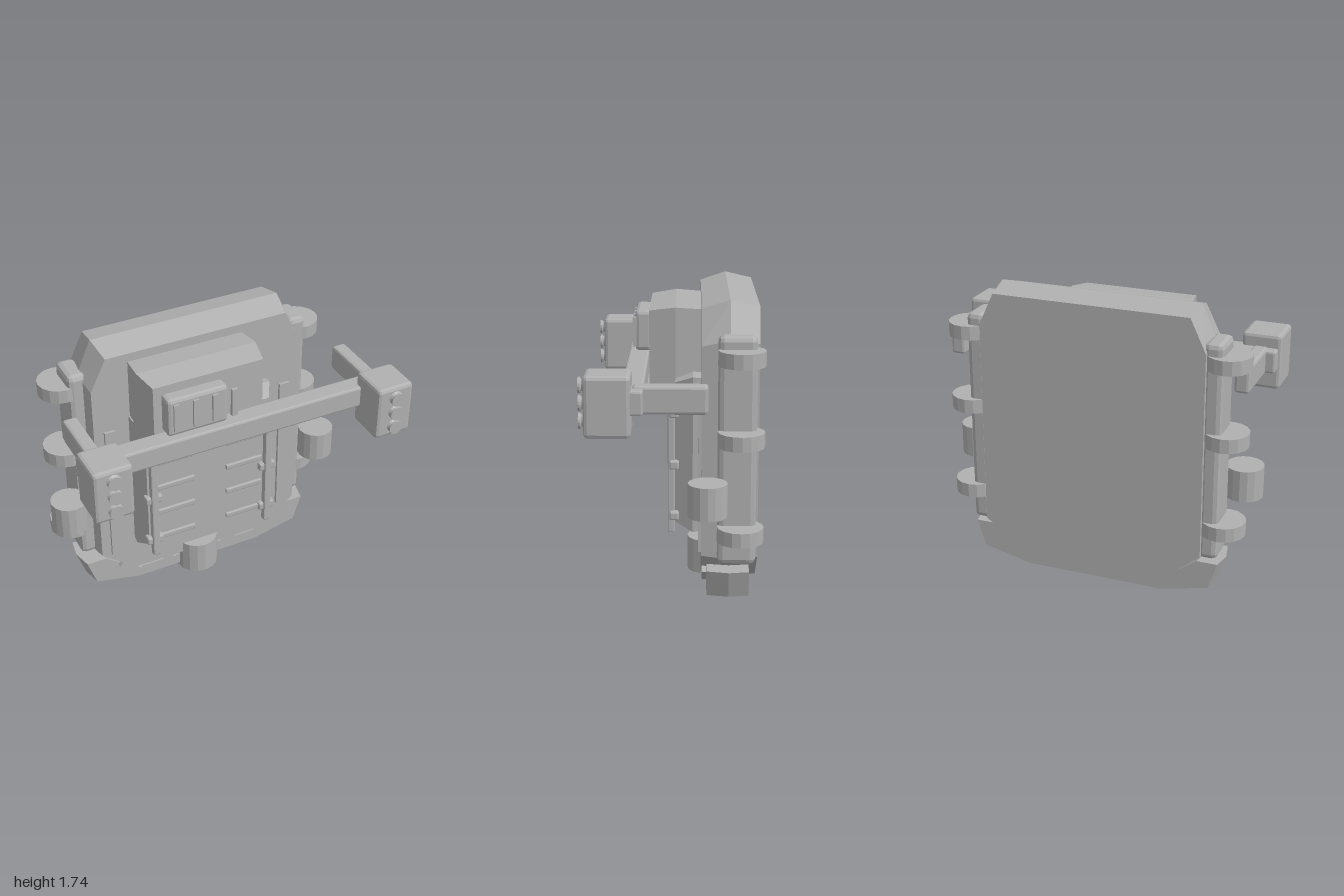
import * as THREE from 'three';
import { RoundedBoxGeometry } from 'three/addons/geometries/RoundedBoxGeometry.js';

const grey = new THREE.MeshStandardMaterial({ color: 0xb0b0b0 });
grey.name = 'plain grey';
const C = -0.07; // centre line of the main body

// Faceted normals
function flat(geo) {
  const g = geo.index ? geo.toNonIndexed() : geo;
  g.computeVertexNormals();
  return g;
}

// Joins matching outlines (counter-clockwise from the front), ordered front to back
function loft(sections) {
  const pos = [];
  const put = (p, z) => pos.push(p[0], p[1], z);
  for (let s = 0; s < sections.length - 1; s++) {
    const [za, a] = sections[s], [zb, b] = sections[s + 1];
    a.forEach((_, i) => {
      const j = (i + 1) % a.length;
      put(a[i], za); put(b[i], zb); put(b[j], zb);
      put(a[i], za); put(b[j], zb); put(a[j], za);
    });
  }
  const cap = ([z, ring], back) => {
    const pts = ring.map((p) => new THREE.Vector2(p[0], p[1]));
    for (const t of THREE.ShapeUtils.triangulateShape(pts, [])) {
      (back ? [t[0], t[2], t[1]] : t).forEach((k) => put(ring[k], z));
    }
  };
  cap(sections[0], false);
  cap(sections[sections.length - 1], true);
  const g = new THREE.BufferGeometry();
  g.setAttribute('position', new THREE.Float32BufferAttribute(pos, 3));
  g.computeVertexNormals();
  return g;
}

const rect = (x0, x1, y0, y1) => [[x0, y0], [x1, y0], [x1, y1], [x0, y1]];

// Eight-sided outline with different top and bottom chamfers
function octagon(half, topHalf, bottomHalf, y0, y1, y2, y3) {
  const right = [[bottomHalf, y0], [half, y1], [half, y2], [topHalf, y3]];
  const left = right.map(([x, y]) => [-x, y]).reverse();
  return [...right, ...left].map(([x, y]) => [x + C, y]);
}

export function createModel() {
  const model = new THREE.Group();
  const add = (name, geo) => {
    const m = new THREE.Mesh(geo, grey);
    m.name = name;
    model.add(m);
    return m;
  };
  // Box given by its limits, with optional chamfered edges
  const box = (name, x0, x1, y0, y1, z0, z1, bevel = 0) => {
    const w = x1 - x0, h = y1 - y0, d = z1 - z0;
    const geo = bevel ? new RoundedBoxGeometry(w, h, d, 1, bevel) : new THREE.BoxGeometry(w, h, d);
    const m = add(name, flat(geo));
    m.position.set((x0 + x1) / 2, (y0 + y1) / 2, (z0 + z1) / 2);
    return m;
  };
  const drum = (name, x, y0, y1, z, r) => {
    const m = add(name, flat(new THREE.CylinderGeometry(r, r, y1 - y0, 16)));
    m.position.set(x, (y0 + y1) / 2, z);
  };

  // Main slab, fullest at mid depth
  add('mainSlab', loft([
    [-0.147, octagon(0.655, 0.56, 0.44, 0.14, 0.31, 1.495, 1.687)],
    [-0.3, octagon(0.675, 0.585, 0.45, 0.11, 0.295, 1.53, 1.735)],
    [-0.46, octagon(0.66, 0.57, 0.44, 0.125, 0.305, 1.51, 1.7)],
  ]));

  // Curved bumper under the slab
  const right = [[0.425, 0.02], [0.715, 0.09], [0.77, 0.25], [0.645, 0.25], [0.43, 0.1]];
  const ring = [...right, ...right.map(([x, y]) => [-x, y]).reverse()];
  const bumperAt = (s, dy) => ring.map(([x, y]) => [x * s + C, y < 0.05 ? y + dy : y]);
  add('bumper', loft([
    [-0.18, bumperAt(0.965, 0.006)], [-0.3, bumperAt(1, 0)], [-0.413, bumperAt(0.975, 0.004)],
  ]));
  drum('bottomDrum', C, 0, 0.207, -0.2, 0.13);

  // Front panel and the raised box above it
  add('frontPanel', loft([
    [0, rect(C - 0.405, C + 0.385, 0.42, 1.24)],
    [-0.1, rect(C - 0.443, C + 0.443, 0.375, 1.28)],
    [-0.16, rect(C - 0.438, C + 0.438, 0.382, 1.275)],
  ]));
  add('upperBox', loft([
    [0.148, rect(-0.48, 0.19, 1.152, 1.625)],
    [0, rect(-0.512, 0.22, 1.13, 1.646)],
    [-0.15, rect(-0.5, 0.208, 1.14, 1.635)],
  ]));

  // Vent box with slots
  box('ventBox', -0.435, -0.07, 1.345, 1.58, 0.14, 0.237, 0.02);
  for (const x of [-0.385, -0.268, -0.152, -0.035]) {
    box('ventSlot', x - 0.017, x + 0.017, 1.38, 1.55, 0.23, 0.25);
  }
  // Row of blocks below the upper box
  box('blockRail', -0.4, 0.12, 1.14, 1.185, 0.13, 0.155);
  for (const [a, b] of [[-0.43, -0.275], [-0.22, 0.008], [0.008, 0.14]]) {
    box('railBlock', a, b, 1.13, 1.193, 0.13, 0.17, 0.008);
  }

  for (const s of [-1, 1]) {
    const mid = (x) => C + s * x;
    const centred = (name, x, w, ...rest) => box(name, mid(x) - w / 2, mid(x) + w / 2, ...rest);

    // Side rail with round clamps, and a separate drum
    centred('sideRail', 0.695, 0.112, 0.29, 1.565, -0.445, -0.235, 0.03);
    for (const y of [0.477, 1.012, 1.455]) drum('railClamp', mid(0.76), y - 0.041, y + 0.041, -0.36, 0.128);
    drum('sideDrum', mid(0.825), 0.6, 0.785, -0.18, 0.108);

    // Strip on the slab
    centred('slabStrip', 0.563, 0.064, 0.31, 1.21, -0.17, -0.13);

    // Upright rod with brackets, and rungs on the panel
    centred('uprightRod', 0.373, 0.045, 0.355, 1.12, 0, 0.042, 0.008);
    for (const y of [0.463, 0.765, 1.067]) {
      centred('rodBracket', 0.373, 0.105, y - 0.026, y + 0.026, -0.022, 0.032, 0.01);
    }
    for (const y of [0.463, 0.65, 0.83, 1.008]) {
      centred('panelRung', 0.224, 0.24, y - 0.017, y + 0.017, -0.015, 0.015, 0.006);
    }

    // Slanted bars above the bumper
    for (const x of [0.235, 0.47]) {
      const bar = centred('slantedBar', x, 0.155, 0.122, 0.158, -0.185, -0.153);
      bar.rotation.z = s * 0.64;
    }

    // Lamp housing with three lamps, and the arm behind it
    const lx = 0.015 + s * 0.867;
    box('lampHousing', lx - 0.115, lx + 0.115, 1.09, 1.417, 0.22, 0.463, 0.02);
    box('lampArm', lx - 0.043, lx + 0.043, 1.2, 1.352, -0.178, 0.215, 0.016);
    for (const y of [1.16, 1.255, 1.35]) {
      const profile = [[0, 0], [0.043, 0], [0.03, 0.015], [0.043, 0.024], [0.043, 0.034], [0, 0.034]];
      const lamp = add('lamp', flat(new THREE.LatheGeometry(profile.map((p) => new THREE.Vector2(...p)), 16)));
      lamp.rotation.x = Math.PI / 2;
      lamp.position.set(lx, y, 0.461);
    }
  }

  // Cross bar joining the lamps
  box('crossBar', -0.95, 0.985, 1.208, 1.34, 0.157, 0.275, 0.012);

  return model;
}
